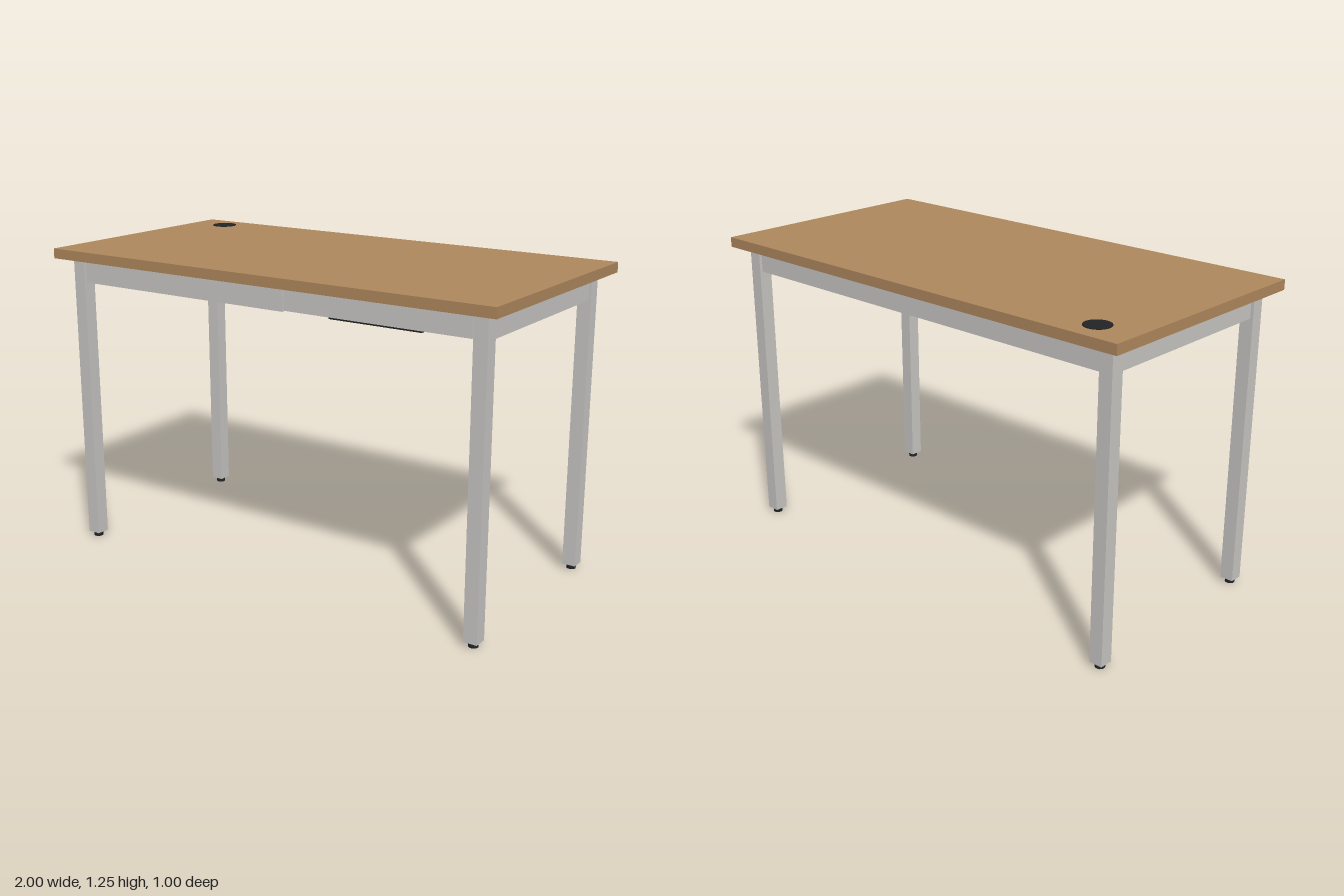
import * as THREE from 'three';

const mat = (name, color) => {
  const m = new THREE.MeshStandardMaterial({ color });
  m.name = name;
  return m;
};

export function createModel() {
  const desk = new THREE.Group();
  desk.name = 'desk';
  const wood = mat('wood', 0xb0895e);
  const metal = mat('light grey metal', 0xcac8c5);
  const black = mat('black plastic', 0x222325);

  const add = (name, geometry, material, x, y, z) => {
    const mesh = new THREE.Mesh(geometry, material);
    mesh.name = name;
    mesh.position.set(x, y, z);
    desk.add(mesh);
    return mesh;
  };
  // Box given by its lower and upper limits on each axis
  const box = (name, material, [x0, x1], [y0, y1], [z0, z1]) =>
    add(name, new THREE.BoxGeometry(x1 - x0, y1 - y0, z1 - z0), material,
      (x0 + x1) / 2, (y0 + y1) / 2, (z0 + z1) / 2);

  // Table top with cable grommet
  box('tableTop', wood, [-1, 1], [1.212, 1.252], [-0.5, 0.5]);
  add('cableGrommet', new THREE.CylinderGeometry(0.051, 0.051, 0.006, 32), black, -0.835, 1.252, -0.39);

  // Square legs with round levelling feet
  const legGeometry = new THREE.BoxGeometry(0.055, 1.192, 0.055);
  const footGeometry = new THREE.CylinderGeometry(0.019, 0.019, 0.02, 20);
  for (const sx of [-1, 1]) {
    for (const sz of [-1, 1]) {
      add('leg', legGeometry, metal, sx * 0.917, 0.616, sz * 0.418);
      add('foot', footGeometry, black, sx * 0.917, 0.01, sz * 0.418);
    }
  }

  // Rails under the top
  const railY = [1.114, 1.212];
  box('rightRail', metal, [-0.935, -0.91], railY, [-0.387, 0.387]);
  box('leftRail', metal, [0.91, 0.935], railY, [-0.387, 0.387]);
  box('backRail', metal, [-0.887, 0.887], railY, [-0.435, -0.41]);
  box('frontRail', metal, [-0.887, 0.098], railY, [0.41, 0.435]);

  // Drawer: front panel, body and recessed finger pull
  box('drawerFront', metal, [0.106, 0.88], [1.119, 1.206], [0.41, 0.435]);
  box('drawerBody', metal, [0.106, 0.905], [1.124, 1.206], [-0.409, 0.409]);
  box('fingerPull', black, [0.3, 0.685], [1.112, 1.119], [0.413, 0.43]);

  return desk;
}
